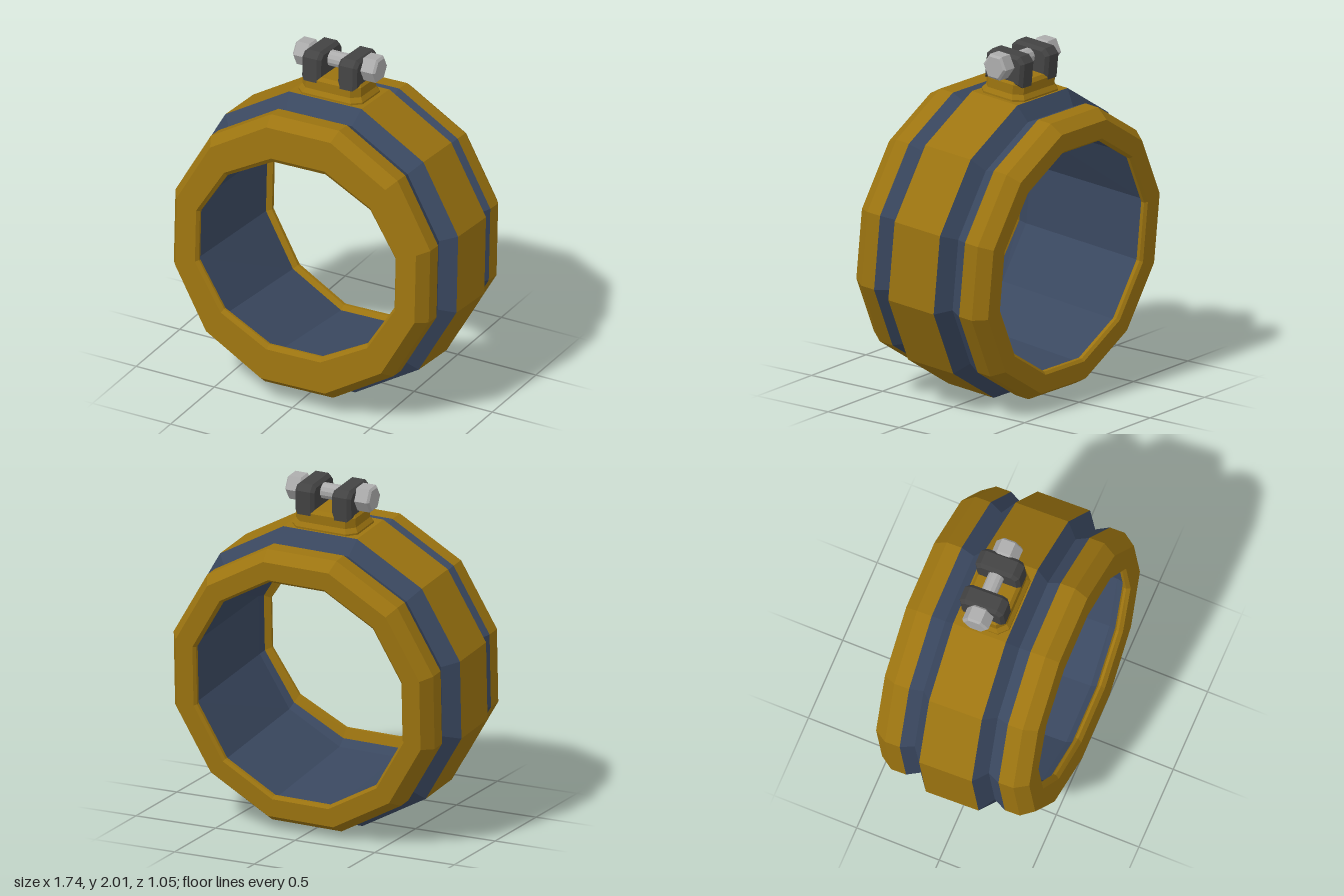
import * as THREE from 'three';

const gold = new THREE.MeshStandardMaterial({ color: 0x9c7410 });
const blue = new THREE.MeshStandardMaterial({ color: 0x3a4860 });
const darkGrey = new THREE.MeshStandardMaterial({ color: 0x434343 });
const steel = new THREE.MeshStandardMaterial({ color: 0xacacac });

// Skin a list of closed rings with flat facets
function skin(rings) {
  const pos = [];
  for (let j = 0; j < rings.length - 1; j++) {
    const a = rings[j], b = rings[j + 1], n = a.length;
    for (let i = 0; i < n; i++) {
      const k = (i + 1) % n;
      for (const p of [a[i], a[k], b[k], a[i], b[k], b[i]]) pos.push(...p);
    }
  }
  const g = new THREE.BufferGeometry();
  g.setAttribute('position', new THREE.Float32BufferAttribute(pos, 3));
  g.computeVertexNormals();
  return g;
}

// Twelve-sided ring around z: flat-to-centre radius, z, vertical squash
function ring([r, z, squash = 1]) {
  const R = r / Math.cos(Math.PI / 12);
  return Array.from({ length: 12 }, (_, i) => {
    const t = (i + 0.5) * Math.PI / 6;
    return [R * Math.cos(t), R * Math.sin(t) * squash, z];
  });
}

// Rectangle with cut corners, lying flat at height y
function octagon([w, d, cut, y]) {
  return [
    [w, d - cut], [w, cut - d], [w - cut, -d], [cut - w, -d],
    [-w, cut - d], [-w, d - cut], [cut - w, d], [w - cut, d],
  ].map(([x, z]) => [x, y, z]);
}

function add(parent, name, geometry, material) {
  const m = new THREE.Mesh(geometry, material);
  m.name = name;
  parent.add(m);
  return m;
}

export function createModel() {
  const model = new THREE.Group();
  model.name = 'clampCollar';

  // The whole collar leans back and rolls slightly
  const collar = new THREE.Group();
  collar.name = 'collar';
  collar.position.y = 0.875;
  collar.rotation.set(-0.08, 0, 0.021);
  model.add(collar);

  const profiles = [
    ['backRim', gold, [[0.672, -0.41], [0.645, -0.43], [0.645, -0.45], [0.66, -0.465],
      [0.765, -0.465], [0.815, -0.39], [0.815, -0.3]]],
    ['backGroove', blue, [[0.815, -0.3], [0.778, -0.225], [0.865, -0.16]]],
    ['centreBand', gold, [[0.865, -0.16], [0.865, 0.16]]],
    ['frontGroove', blue, [[0.865, 0.16], [0.778, 0.225], [0.815, 0.3]]],
    ['frontRim', gold, [[0.815, 0.3], [0.815, 0.39], [0.765, 0.465], [0.64, 0.465, 0.91],
      [0.626, 0.445, 0.89], [0.626, 0.43, 0.89], [0.66, 0.41, 0.93]]],
    ['innerWall', blue, [[0.66, 0.41, 0.93], [0.672, 0.37, 0.97], [0.672, -0.41]]],
  ];
  for (const [name, material, profile] of profiles) {
    add(collar, name, skin(profile.map(ring)), material);
  }

  // Flared mounting block on top
  const block = [
    [0.205, 0.15, 0.05, 0.84], [0.205, 0.15, 0.05, 0.875], [0.187, 0.132, 0.045, 0.9],
    [0.187, 0.132, 0.045, 0.955], [0.17, 0.115, 0.04, 0.975], [0, 0, 0, 0.975],
  ];
  add(collar, 'mountingBlock', skin(block.map(octagon)), gold);

  // Chamfered lug outline, extruded along x
  const lugShape = new THREE.Shape([
    [-0.115, 0], [0.115, 0], [0.115, 0.115], [0.09, 0.14], [-0.09, 0.14], [-0.115, 0.115],
  ].map(([x, y]) => new THREE.Vector2(x, y)));
  const lugGeometry = new THREE.ExtrudeGeometry(lugShape, {
    depth: 0.08, bevelEnabled: true, bevelSegments: 1, bevelSize: 0.018, bevelThickness: 0.02,
  });
  lugGeometry.translate(0, 0.96, -0.04);
  lugGeometry.rotateY(Math.PI / 2);

  // Hexagonal head with chamfered ends
  const headRings = [[0, -0.05], [0.066, -0.05], [0.08, -0.038], [0.08, 0.038], [0.066, 0.05], [0, 0.05]];
  const headGeometry = skin(headRings.map(([r, z]) => Array.from({ length: 6 }, (_, i) => {
    const t = i * Math.PI / 3;
    return [r * Math.cos(t), r * Math.sin(t), z];
  })));
  headGeometry.rotateY(Math.PI / 2);

  for (const [side, s] of [['left', 1], ['right', -1]]) {
    add(collar, side + 'Lug', lugGeometry, darkGrey).position.x = s * 0.115;
    add(collar, side + 'BoltHead', headGeometry, steel).position.set(s * 0.214, 1.053, 0);
  }

  // Bolt shaft between the lugs
  const shaft = skin([-0.2, 0.2].map((z) => ring([0.045, z])));
  shaft.rotateY(Math.PI / 2);
  add(collar, 'boltShaft', shaft, steel).position.y = 1.053;

  return model;
}
